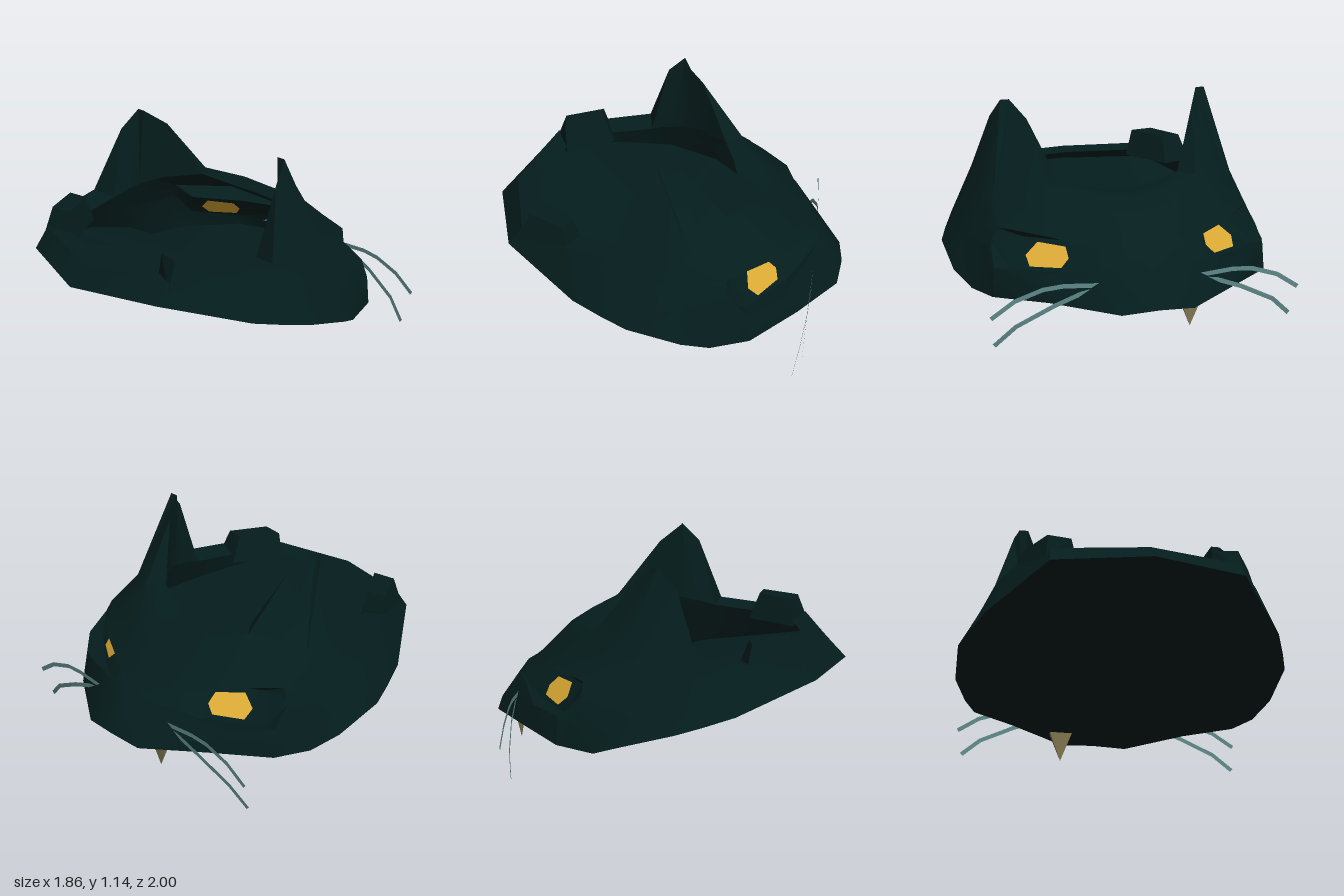
import * as THREE from 'three';
import { toCreasedNormals } from 'three/addons/utils/BufferGeometryUtils.js';

const mat = (name, color) => {
  const m = new THREE.MeshStandardMaterial({ color, side: THREE.DoubleSide });
  m.name = name;
  return m;
};
const lerp = (a, b, t) => a.map((v, i) => v + (b[i] - v) * t);
const mirror = ([x, y, z]) => [-x, y, z];

function facets(points, faces, crease = 0.65) {
  const g = new THREE.BufferGeometry();
  g.setAttribute('position', new THREE.Float32BufferAttribute(points.flat(), 3));
  g.setIndex(faces.flat());
  return toCreasedNormals(g.toNonIndexed(), crease);
}

// Half outlines of the shell, running from the nose (-z) round the +x side to the back
const rim = [[0, .21, -1], [.2, .195, -.98], [.53, .225, -.77], [.78, .2, -.53], [.85, .185, -.32], [.92, .25, -.17],
  [.93, .33, .12], [.88, .36, .26], [.81, .4, .43], [.52, .53, .84], [0, .515, 1]];
const ridge = [[0, .69, -.52], [.2, .71, -.49], [.42, .74, -.37], [.48, 1.06, -.12], [.55, 1.15, 0], [.6, 1.15, 0],
  [.64, 1.04, .1], [.75, .66, .23], [.68, .65, .47], [.51, .64, .76], [0, .62, .9]];
const lip = [[0, .69, -.39], [.2, .71, -.34], [.345, .74, -.28], [.5, .72, -.12], [.56, .7, -.03], [.58, .69, .02],
  [.59, .67, .12], [.6, .645, .2], [.54, .63, .46], [.35, .62, .69], [0, .61, .78]];
const forehead = [[0, .62, -.63], [.2, .63, -.61], [.45, .66, -.48], [.6, .66, -.31], [.69, .66, -.2], [.74, .66, -.08], [.76, .66, .1]];
const cheek = [[0, .41, -.86], [.11, .41, -.86], [.58, .355, -.69], [.77, .36, -.52], [.775, .43, -.4]];
const brow = [[0, .46, -.79], [.11, .46, -.78], [.47, .535, -.635], [.67, .54, -.425], [.715, .54, -.39]];

// Point on the tilted back wall of the +x eye socket: s runs outwards, t upwards, d off the wall
const socketPoint = (s, t, d = 0) => [
  .485 + .82 * s - .368 * t + .443 * d,
  .41 + .77 * t + .64 * d,
  -.565 + .575 * s + .525 * t - .631 * d,
];
const socket = {
  2: [socketPoint(-.16, -.085), socketPoint(-.16, .1)],
  3: [socketPoint(.2, -.085), socketPoint(.17, .1)],
};

function column(i) {
  const f = forehead[i] ?? lerp(rim[i], ridge[i], 0.75);
  const c = cheek[i] ?? lerp(rim[i], f, 0.35);
  const b = brow[i] ?? lerp(rim[i], f, 0.7);
  const [lo, hi] = socket[i] ?? [lerp(c, b, 0.33), lerp(c, b, 0.67)];
  return [rim[i], c, lo, hi, b, f, ridge[i], lip[i]];
}

function shellGeometry() {
  const half = rim.map((_, i) => column(i));
  const cols = [...half, ...half.slice(1, -1).reverse().map(col => col.map(mirror))];
  const n = cols.length, rows = half[0].length, faces = [];
  for (let i = 0; i < n; i++) {
    for (let j = 0; j < rows - 1; j++) {
      const a = i * rows + j, b = ((i + 1) % n) * rows + j;
      // Diagonals mirror between the halves, and flip at the front root of each ear
      const earRoot = Math.min(i, n - 1 - i) === 2 && j >= 5;
      if ((i < n / 2) !== earRoot) faces.push([a, a + 1, b + 1], [a, b + 1, b]);
      else faces.push([a, a + 1, b], [a + 1, b + 1, b]);
    }
  }
  return facets(cols.flat(), faces);
}

function floorGeometry() {
  const loop = [...rim, ...rim.slice(1, -1).reverse().map(mirror)];
  const n = loop.length;
  return facets([...loop, [0, 0.33, 0]], loop.map((_, i) => [i, (i + 1) % n, n]));
}

// Tapered block on the back corner of the rim
function studGeometry(s) {
  const base = [[.52, .42], [.69, .47], [.53, .77], [.35, .68]].map(([x, z]) => [x * s, 0.59, z]);
  const top = [[.52, .48], [.63, .5], [.52, .71], [.39, .69]].map(([x, z]) => [x * s, 0.745, z]);
  const faces = [[4, 6, 5], [4, 7, 6]];
  for (let i = 0; i < 4; i++) {
    const k = (i + 1) % 4;
    faces.push([i, i + 4, k + 4], [i, k + 4, k]);
  }
  return facets([...base, ...top], s > 0 ? faces : faces.map(f => [...f].reverse()), 0.2);
}

// Flat ribbon following a bent path
function whiskerGeometry(path, s) {
  const points = [], faces = [];
  path.forEach(([x, y, z], i) => {
    const p = path[Math.max(i - 1, 0)], q = path[Math.min(i + 1, path.length - 1)];
    const d = Math.hypot(q[0] - p[0], q[1] - p[1]), w = 0.0125;
    const nx = -(q[1] - p[1]) / d * w, ny = (q[0] - p[0]) / d * w;
    points.push([(x + nx) * s, y + ny, z], [(x - nx) * s, y - ny, z]);
    const a = 2 * i - 2;
    if (i) faces.push([a, a + 2, a + 1], [a + 1, a + 2, a + 3]);
  });
  return facets(points, s > 0 ? faces : faces.map(f => [...f].reverse()));
}

// Six-sided eye, one face on each side of the socket wall
function eyeGeometry(s) {
  const outline = [[.074, .076], [-.088, .065], [-.12, 0], [-.091, -.058], [.085, -.068], [.123, -.005]];
  const points = [0.004, -0.004].flatMap(d => outline.map(([u, t]) => socketPoint(u, t, d)));
  const front = [1, 2, 3, 4].map(i => [0, i, i + 1]);
  const back = front.map(f => f.map(i => i + 6).reverse());
  return facets(s > 0 ? points : points.map(mirror), [...front, ...back]);
}

export function createModel() {
  const group = new THREE.Group();
  const fur = mat('dark teal fur', 0x051d1d);
  const gold = mat('gold eye', 0xdcaa35);
  const bone = mat('bone', 0x847a52);
  const grey = mat('grey teal whisker', 0x5f8888);
  const add = (name, geometry, material) => {
    const mesh = new THREE.Mesh(geometry, material);
    mesh.name = name;
    group.add(mesh);
    return mesh;
  };

  add('headShellWithEars', shellGeometry(), fur);
  add('shellFloor', floorGeometry(), fur);

  const upper = [[.26, .32, -.84], [.47, .335, -.835], [.58, .325, -.83], [.73, .275, -.825], [.855, .19, -.82]];
  const lower = [[.26, .305, -.84], [.38, .285, -.84], [.52, .23, -.83], [.72, .125, -.8], [.83, .02, -.77]];
  for (const s of [1, -1]) {
    const side = s > 0 ? 'left' : 'right';
    add(side + 'BackStud', studGeometry(s), fur);
    add(side + 'UpperWhisker', whiskerGeometry(upper, s), grey);
    add(side + 'LowerWhisker', whiskerGeometry(lower, s), grey);
    add(side + 'Eye', eyeGeometry(s), gold);
  }

  // Single flat fang below the muzzle
  const cone = new THREE.ConeGeometry(0.108, 0.2, 4).rotateY(Math.PI / 4).rotateX(Math.PI);
  const fang = add('fang', toCreasedNormals(cone, 0.3), bone);
  fang.scale.z = 0.3;
  fang.position.set(-0.225, 0.14, -0.84);
  return group;
}
